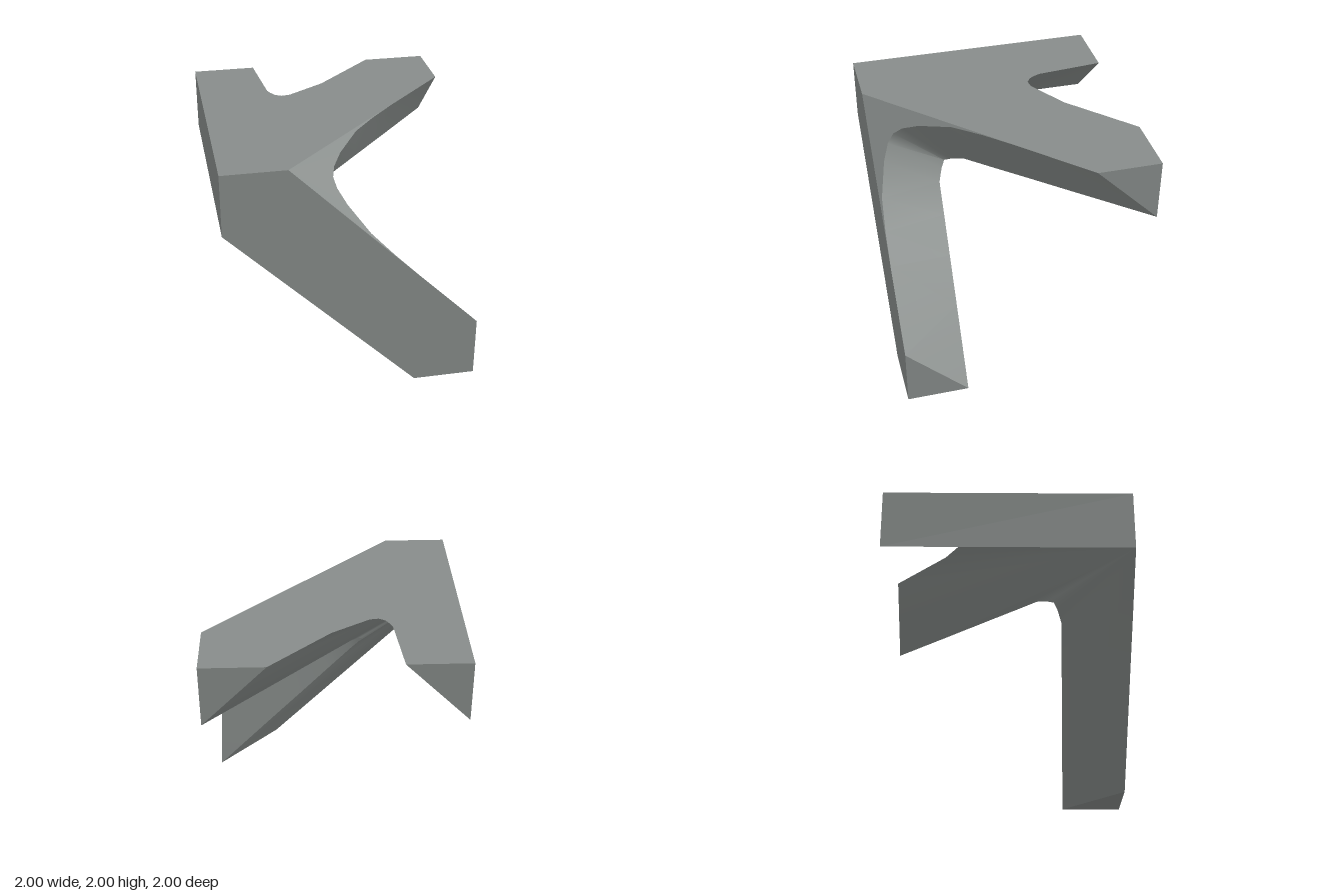
import * as THREE from 'three';
import { toCreasedNormals } from 'three/addons/utils/BufferGeometryUtils.js';

// Points are written as [a, b, c]: distances from the top front corner
// to the side, downwards and backwards.
const place = ([a, b, c]) => [a - 1, 2 - b, 1 - c];

// Swaps the two diagonal arms (down <-> back)
const swap = ([a, b, c]) => [a, c, b];
const mirrored = (half) => [...half, ...half.slice(0, -1).reverse().map(swap)];

// Triangles fanned out from the first point
function fan(points) {
  const tris = [];
  for (let i = 1; i < points.length - 1; i++) tris.push(points[0], points[i], points[i + 1]);
  return tris;
}

// Ruled strip between two curves with the same number of points
function strip(p, q) {
  const tris = [];
  for (let i = 0; i < p.length - 1; i++) {
    tris.push(p[i], p[i + 1], q[i], p[i + 1], q[i + 1], q[i]);
  }
  return tris;
}

export function createModel() {
  const group = new THREE.Group();
  const grey = new THREE.MeshStandardMaterial({ color: 0x878c8a });
  grey.name = 'grey';

  function add(name, tris, crease = 0.1) {
    const geo = new THREE.BufferGeometry();
    geo.setAttribute('position', new THREE.Float32BufferAttribute(tris.flatMap(place), 3));
    const mesh = new THREE.Mesh(toCreasedNormals(geo, crease), grey);
    mesh.name = name;
    group.add(mesh);
  }

  // Rounded notch between the straight arm and the rear diagonal arm
  const notch = [
    [0.5, 0, 2], [0.55, 0, 1.47], [0.57, 0, 1.42], [0.6, 0, 1.37], [0.65, 0, 1.34],
    [0.72, 0, 1.35], [1.02, 0, 1.54], [1.5, 0, 2],
  ];

  // Curved rim of the inner web, lying on the plane a = 0.5 + b + c
  const rim = mirrored(
    [[1.5, 0], [1, 0], [0.8, 0.005], [0.6, 0.02], [0.37, 0.08], [0.25, 0.13], [0.18, 0.18]]
      .map(([c, b]) => [0.5 + b + c, b, c]),
  );

  // Inner ridge running from the rear diagonal arm round to the lower one
  const ridge = mirrored([
    [2, 0.5, 2], [1.53, 0.518, 1.5], [1.245, 0.529, 1.2], [1.01, 0.538, 0.95],
    [0.82, 0.545, 0.75], [0.75, 0.58, 0.66], [0.71, 0.612, 0.612],
  ]);

  // Flat outer faces
  add('topFace', fan([[0, 0, 0], [0.5, 0, 0], [2, 0, 1.5], [2, 0, 2], ...[...notch].reverse(), [0, 0, 2]]));
  add('frontFace', fan([[0, 0, 0], [0, 0.5, 0], [1.5, 2, 0], [2, 2, 0], [2, 1.5, 0], [0.5, 0, 0]]));
  add('sideFace', fan([[0, 0, 0], [0, 0, 2], [0, 0.5, 2], [0, 0.5, 0]]));

  // Flat web and the rounded surface between the diagonal arms
  add('cornerWeb', fan([[0.5, 0, 0], ...[...rim].reverse()]));
  add('innerFillet', strip(rim, ridge), 0.9);

  // Underside joining all three arms
  add('underside', fan([[0, 0.5, 0], [0, 0.5, 2], ...notch, ...ridge, [1.5, 2, 0]]), 0.7);

  // Pointed arm ends
  add('straightArmEnd', [[0, 0, 2], [0.5, 0, 2], [0, 0.5, 2]]);
  add('rearArmEnd', [
    [2, 0, 2], [2, 0.5, 2], [1.5, 0, 2],
    [2, 0, 2], [2, 0, 1.5], [2, 0.5, 2],
  ]);
  add('lowerArmEnd', [
    [2, 2, 0], [1.5, 2, 0], [2, 2, 0.5],
    [2, 2, 0], [2, 2, 0.5], [2, 1.5, 0],
  ]);

  return group;
}
